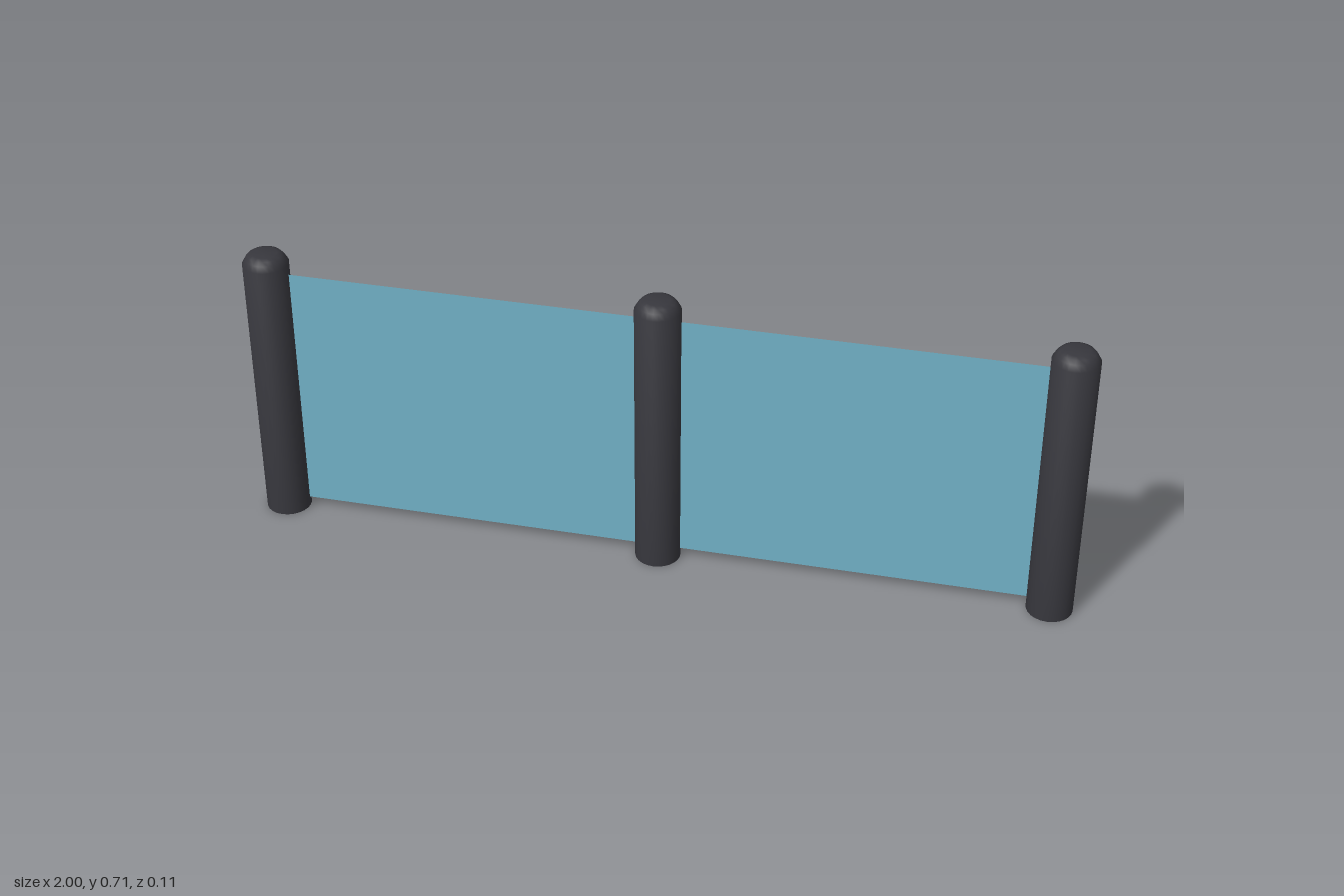
import * as THREE from 'three';
import { toCreasedNormals } from 'three/addons/utils/BufferGeometryUtils.js';

const POST_RADIUS = 0.055;
const POST_HEIGHT = 0.712;
const POST_SPACING = 0.945;
const PANEL_BOTTOM = 0.025;
const PANEL_TOP = 0.66;

export function createModel() {
  const postDark = new THREE.MeshStandardMaterial({ name: 'postDark', color: 0x37373d });
  const panelBlue = new THREE.MeshStandardMaterial({ name: 'panelBlue', color: 0x72b2c7, side: THREE.DoubleSide });

  const model = new THREE.Group();
  model.name = 'panelFence';

  // Round post with a sharp base and a softened top edge
  const profile = [
    [0, 0],
    [POST_RADIUS, 0],
    [POST_RADIUS, POST_HEIGHT - 0.026],
    [0.047, POST_HEIGHT - 0.012],
    [0.040, POST_HEIGHT - 0.004],
    [0.029, POST_HEIGHT],
    [0, POST_HEIGHT],
  ].map(([r, y]) => new THREE.Vector2(r, y));
  const postGeometry = toCreasedNormals(new THREE.LatheGeometry(profile, 24), 0.8);

  [['rightPost', -1], ['middlePost', 0], ['leftPost', 1]].forEach(([name, side]) => {
    const post = new THREE.Mesh(postGeometry, postDark);
    post.name = name;
    post.position.x = side * POST_SPACING;
    model.add(post);
  });

  // Flat sheets spanning the gaps, their ends tucked just inside the posts
  const panelWidth = POST_SPACING - 2 * POST_RADIUS + 0.02;
  const panelGeometry = new THREE.PlaneGeometry(panelWidth, PANEL_TOP - PANEL_BOTTOM);
  [['rightPanel', -1], ['leftPanel', 1]].forEach(([name, side]) => {
    const panel = new THREE.Mesh(panelGeometry, panelBlue);
    panel.name = name;
    panel.position.set(side * POST_SPACING / 2, (PANEL_TOP + PANEL_BOTTOM) / 2, 0);
    model.add(panel);
  });

  return model;
}
